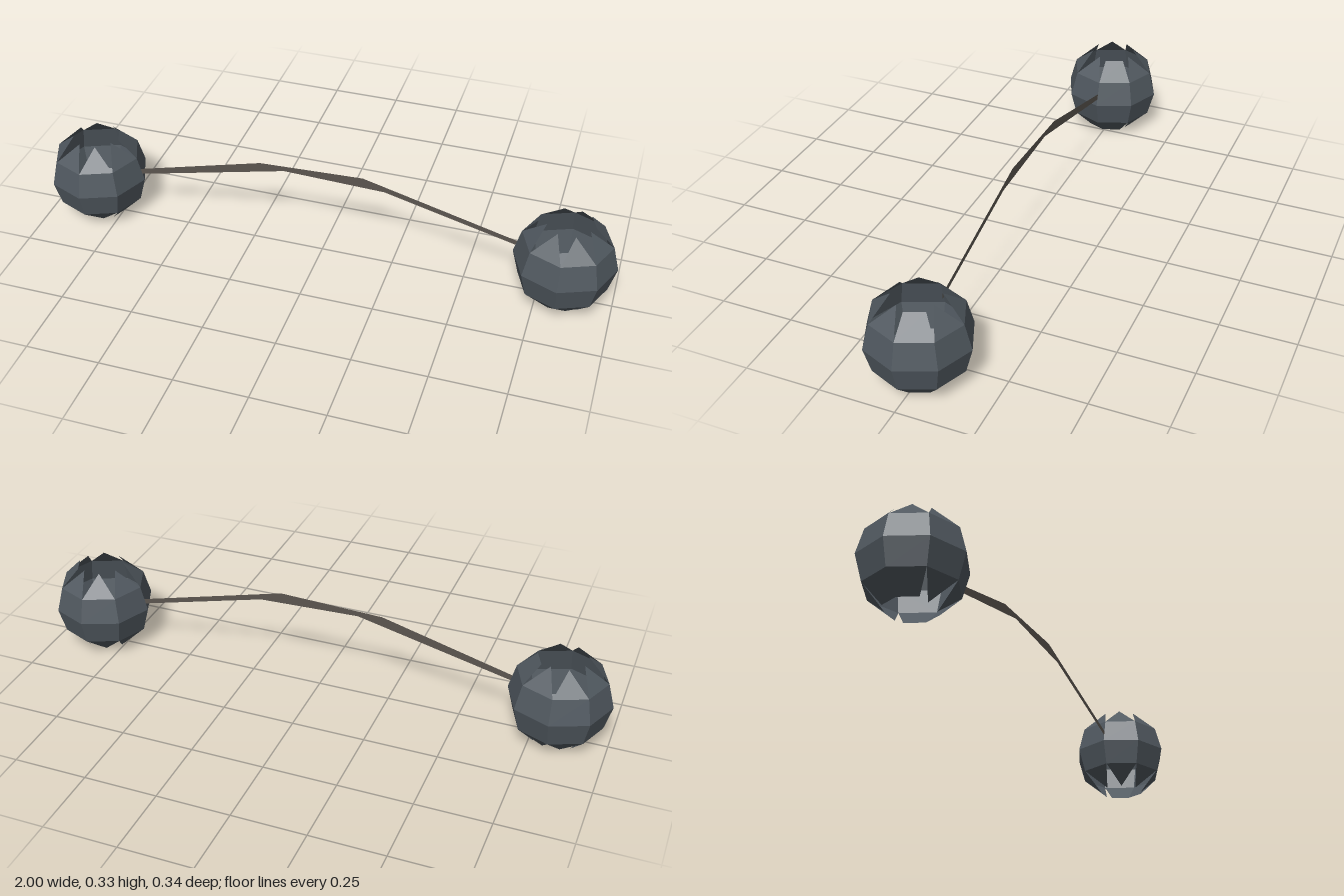
import * as THREE from 'three';

const R = 0.172, CENTER_Y = 0.155, SIDES = 8;

const shellMat = new THREE.MeshStandardMaterial({ color: 0x50585f, flatShading: true, side: THREE.DoubleSide });
const cordMat = new THREE.MeshStandardMaterial({ color: 0x5b554f, flatShading: true, side: THREE.DoubleSide });

// Point on the sphere: latitude and heading in degrees
function onSphere(lat, heading) {
  const a = THREE.MathUtils.degToRad(lat), h = THREE.MathUtils.degToRad(heading);
  return [R * Math.cos(a) * Math.cos(h), R * Math.sin(a), R * Math.cos(a) * Math.sin(h)];
}

// Eight-sided open shell: each panel ends in a pointed petal, or a blunt one if listed
function createShell(name, bluntTop, bluntBottom) {
  const pos = [];
  const tri = (a, b, c) => pos.push(...a, ...b, ...c);
  const quad = (a, b, c, d) => { tri(a, b, c); tri(a, c, d); };
  for (let i = 0; i < SIDES; i++) {
    const h0 = i * 45, h1 = h0 + 45, mid = h0 + 22.5;
    for (const s of [1, -1]) {
      // swap headings below the equator so every face looks outwards
      const [l, r] = s > 0 ? [h1, h0] : [h0, h1];
      quad(onSphere(0, l), onSphere(0, r), onSphere(30 * s, r), onSphere(30 * s, l));
      const blunt = (s > 0 ? bluntTop : bluntBottom).includes(i);
      if (blunt) quad(onSphere(30 * s, l), onSphere(30 * s, r), onSphere(60 * s, r), onSphere(60 * s, l));
      else tri(onSphere(30 * s, l), onSphere(30 * s, r), onSphere(64 * s, mid));
    }
  }
  const geo = new THREE.BufferGeometry();
  geo.setAttribute('position', new THREE.Float32BufferAttribute(pos, 3));
  geo.computeVertexNormals();
  const mesh = new THREE.Mesh(geo, shellMat);
  mesh.name = name;
  return mesh;
}

// Flat upright strap joining the shells
function createCord() {
  const outline = [
    [-0.67, 0.177], [-0.135, 0.304], [0.215, 0.293], [0.67, 0.177],
    [0.67, 0.195], [0.14, 0.333], [-0.22, 0.319], [-0.67, 0.198],
  ].map(([x, y]) => new THREE.Vector2(x, y));
  const mesh = new THREE.Mesh(new THREE.ShapeGeometry(new THREE.Shape(outline)), cordMat);
  mesh.name = 'cord';
  return mesh;
}

export function createModel() {
  const group = new THREE.Group();
  group.name = 'linkedShells';
  const left = createShell('leftShell', [7], [0, 7]);
  left.position.set(0.828, CENTER_Y, 0);
  const right = createShell('rightShell', [7], [0, 7, 3, 4]);
  right.position.set(-0.828, CENTER_Y, 0);
  group.add(left, right, createCord());
  return group;
}
